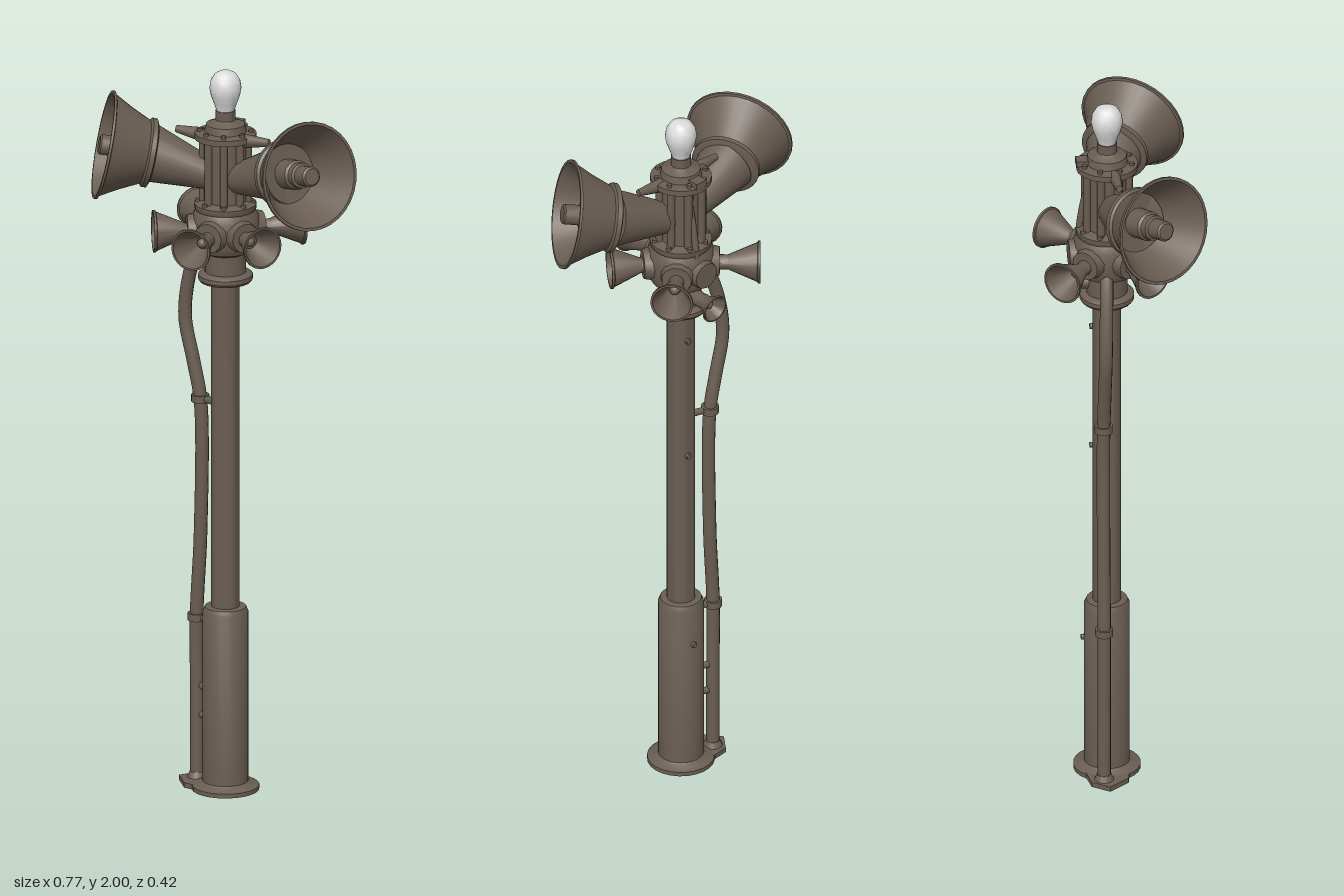
import * as THREE from 'three';
import { toCreasedNormals } from 'three/addons/utils/BufferGeometryUtils.js';

const metal = new THREE.MeshStandardMaterial({ color: 0x6a5e53 });
metal.name = 'weathered brown metal';
const glass = new THREE.MeshStandardMaterial({ color: 0xdcdcdc });
glass.name = 'pale bulb glass';

const AXIS_Z = -0.025; // the pole stands slightly behind the middle
const UP = new THREE.Vector3(0, 1, 0);
const v = (x, y, z) => new THREE.Vector3(x, y, z);

export function createModel() {
  const model = new THREE.Group();
  model.name = 'loudspeakerPole';

  const add = (name, geometry, parent = model, material = metal) => {
    const mesh = new THREE.Mesh(geometry, material);
    mesh.name = name;
    parent.add(mesh);
    return mesh;
  };
  const lathe = (profile, segments = 24) => toCreasedNormals(
    new THREE.LatheGeometry(profile.map(([r, y]) => new THREE.Vector2(r, y)), segments), 0.6);
  // Tapered round bar between two points
  const bar = (name, a, b, ra, rb = ra, sides = 16) => {
    const mesh = add(name, new THREE.CylinderGeometry(rb, ra, a.distanceTo(b), sides));
    mesh.position.copy(a).lerp(b, 0.5);
    mesh.quaternion.setFromUnitVectors(UP, b.clone().sub(a).normalize());
    return mesh;
  };
  // Point on a circle around the pole; angle 0 faces the front
  const around = (angle, r, y) => v(Math.sin(angle) * r, y, AXIS_Z + Math.cos(angle) * r);
  const aimed = (name, position, direction) => {
    const group = new THREE.Group();
    group.name = name;
    group.position.copy(position);
    group.quaternion.setFromUnitVectors(UP, direction.clone().normalize());
    model.add(group);
    return group;
  };

  // Pole with its base plate and thick lower sleeve
  add('pole', lathe([
    [0, 0], [0.09, 0], [0.09, 0.012], [0.066, 0.02], [0.061, 0.024], [0.061, 0.495],
    [0.055, 0.508], [0.038, 0.51], [0.038, 1.42], [0, 1.42],
  ])).position.z = AXIS_Z;

  // Head: lower collar, hub, upper drum and top flange
  add('head', lathe([
    [0, 1.415], [0.068, 1.415], [0.073, 1.422], [0.073, 1.434], [0.066, 1.44], [0.055, 1.442],
    [0.055, 1.495], [0.078, 1.505], [0.09, 1.525], [0.09, 1.595], [0.08, 1.615], [0.083, 1.62],
    [0.083, 1.632], [0.057, 1.64], [0.057, 1.81], [0.082, 1.812], [0.082, 1.828], [0.056, 1.832],
    [0.052, 1.852], [0.036, 1.858], [0.027, 1.864], [0.027, 1.89], [0, 1.89],
  ])).position.z = AXIS_Z;

  // Vertical conduits and flange bolts
  for (let i = 0; i < 8; i++) {
    const a = (i + 0.5) * Math.PI / 4;
    bar('conduit', around(a, 0.06, 1.632), around(a, 0.06, 1.814), 0.011, 0.011, 8);
    bar('flangeBolt', around(a, 0.068, 1.824), around(a, 0.068, 1.838), 0.007, 0.007, 6);
    bar('hubBolt', around(a, 0.072, 1.625), around(a, 0.072, 1.642), 0.008, 0.008, 6);
  }
  // Loose cable down the back of the drum
  add('backCable', new THREE.TubeGeometry(new THREE.CatmullRomCurve3([
    v(0.012, 1.82, -0.085), v(0.012, 1.77, -0.074), v(0.012, 1.7, -0.088), v(0.012, 1.63, -0.098),
    v(0.012, 1.58, -0.1),
  ]), 20, 0.009, 8));
  const rearLug = add('rearLug', new THREE.BoxGeometry(0.035, 0.018, 0.04));
  rearLug.position.set(0, 1.835, -0.088);

  // Bulb
  add('bulb', lathe([
    [0.022, 1.872], [0.024, 1.89], [0.031, 1.91], [0.039, 1.932], [0.0425, 1.952],
    [0.039, 1.974], [0.028, 1.991], [0.014, 1.998], [0, 2],
  ]), model, glass).position.z = AXIS_Z;

  for (const s of [-1, 1]) {
    // Side lugs under the top flange
    const lug = bar('sideLug', v(s * 0.06, 1.816, -0.012), v(s * 0.138, 1.822, -0.01), 0.02, 0.01, 10);
    lug.scale.z = 0.85;

    // Large horn: neck, flared bell with coupling ring, inner driver
    const rim = v(s * 0.305, 1.78, 0.085);
    const facing = v(s * 0.84, 0.2, 0.5).normalize();
    const ring = rim.clone().addScaledVector(facing, -0.12);
    bar('largeHornNeck', v(s * 0.035, 1.705, -0.018), ring, 0.04, 0.079, 24);
    const horn = aimed('largeHorn', rim, facing);
    add('largeBell', lathe([
      [0, -0.132], [0.084, -0.132], [0.093, -0.128], [0.093, -0.115], [0.086, -0.11],
      [0.112, -0.055], [0.139, -0.006], [0.146, -0.004], [0.146, 0.003], [0.138, 0.003],
      [0.106, -0.055], [0.08, -0.11], [0, -0.115],
    ], 32), horn);
    add('hornDriver', lathe([
      [0.04, -0.118], [0.04, -0.06], [0.034, -0.054], [0.034, -0.035], [0.027, -0.032],
      [0.027, 0.01], [0.022, 0.014], [0, 0.014],
    ], 16), horn);
  }

  // Small horns around the hub, each on a round boss
  const smallHorn = (position, direction, r, length) => {
    const horn = aimed('smallHorn', position, direction);
    add('smallBell', lathe([
      [0, -length], [0.02, -length], [0.02, -length * 0.75], [r * 0.93, -0.008], [r, -0.006],
      [r, 0], [r * 0.9, 0], [0.017, -length * 0.65], [0, -length * 0.65],
    ]), horn);
    add('hornPlug', new THREE.SphereGeometry(0.014, 12, 8), horn).position.y = -length * 0.6;
  };
  for (const deg of [0, 58, -58, 132, -132]) {
    const a = THREE.MathUtils.degToRad(deg);
    const out = v(Math.sin(a), 0, Math.cos(a));
    bar('hornBoss', around(a, 0.06, 1.56), around(a, 0.103, 1.56), 0.05, 0.04, 12);
    bar('hornNeck', around(a, 0.09, 1.557), around(a, 0.13, 1.557), 0.022, 0.018, 12);
    smallHorn(around(a, deg === 0 ? 0.205 : Math.abs(deg) < 90 ? 0.193 : 0.211, 1.557), out, 0.057, 0.115);
  }

  // Low horn at the back with its bracket
  bar('rearBoss', v(0, 1.56, -0.08), v(0, 1.56, -0.128), 0.045, 0.037, 12);
  bar('rearNeck', v(0, 1.475, -0.06), v(0, 1.475, -0.13), 0.022, 0.02, 12);
  smallHorn(v(0, 1.472, -0.163), v(0, -0.1, -1), 0.039, 0.05);

  // Conduit running up beside the pole, with clamps
  add('sideConduit', new THREE.TubeGeometry(new THREE.CatmullRomCurve3([
    v(-0.095, 0, -0.045), v(-0.095, 0.22, -0.045), v(-0.096, 0.46, -0.045), v(-0.084, 0.7, -0.045),
    v(-0.084, 1.06, -0.045), v(-0.105, 1.17, -0.045), v(-0.13, 1.29, -0.045), v(-0.118, 1.4, -0.042),
    v(-0.085, 1.5, -0.037), v(-0.055, 1.55, -0.032),
  ]), 60, 0.018, 12));
  for (const [y, x] of [[1.07, -0.085], [0.46, -0.096], [0.27, -0.095], [0.19, -0.095]]) {
    if (y > 0.4) bar('clampBand', v(x, y - 0.01, -0.045), v(x, y + 0.01, -0.045), 0.024);
    bar('clampArm', v(x, y, -0.045), v(-0.03, y, -0.03), 0.01, 0.01, 8);
  }
  // Pointed foot plate under the conduit
  const plate = new THREE.Shape([
    new THREE.Vector2(-0.05, -0.03), new THREE.Vector2(-0.1, -0.02),
    new THREE.Vector2(-0.143, 0.035), new THREE.Vector2(-0.11, 0.08), new THREE.Vector2(-0.05, 0.09),
  ]);
  const foot = add('footPlate', new THREE.ExtrudeGeometry(plate, { depth: 0.014, bevelEnabled: false }));
  foot.rotation.x = -Math.PI / 2;
  bar('conduitFoot', v(-0.095, 0.01, -0.045), v(-0.095, 0.03, -0.045), 0.028, 0.019);

  // Studs on the back of the pole
  for (const [y, r] of [[1.33, 0.036], [0.97, 0.036], [0.39, 0.059]]) {
    bar('stud', v(0.01, y, AXIS_Z - r), v(0.01, y, AXIS_Z - r - 0.009), 0.008, 0.008, 8);
  }
  return model;
}
